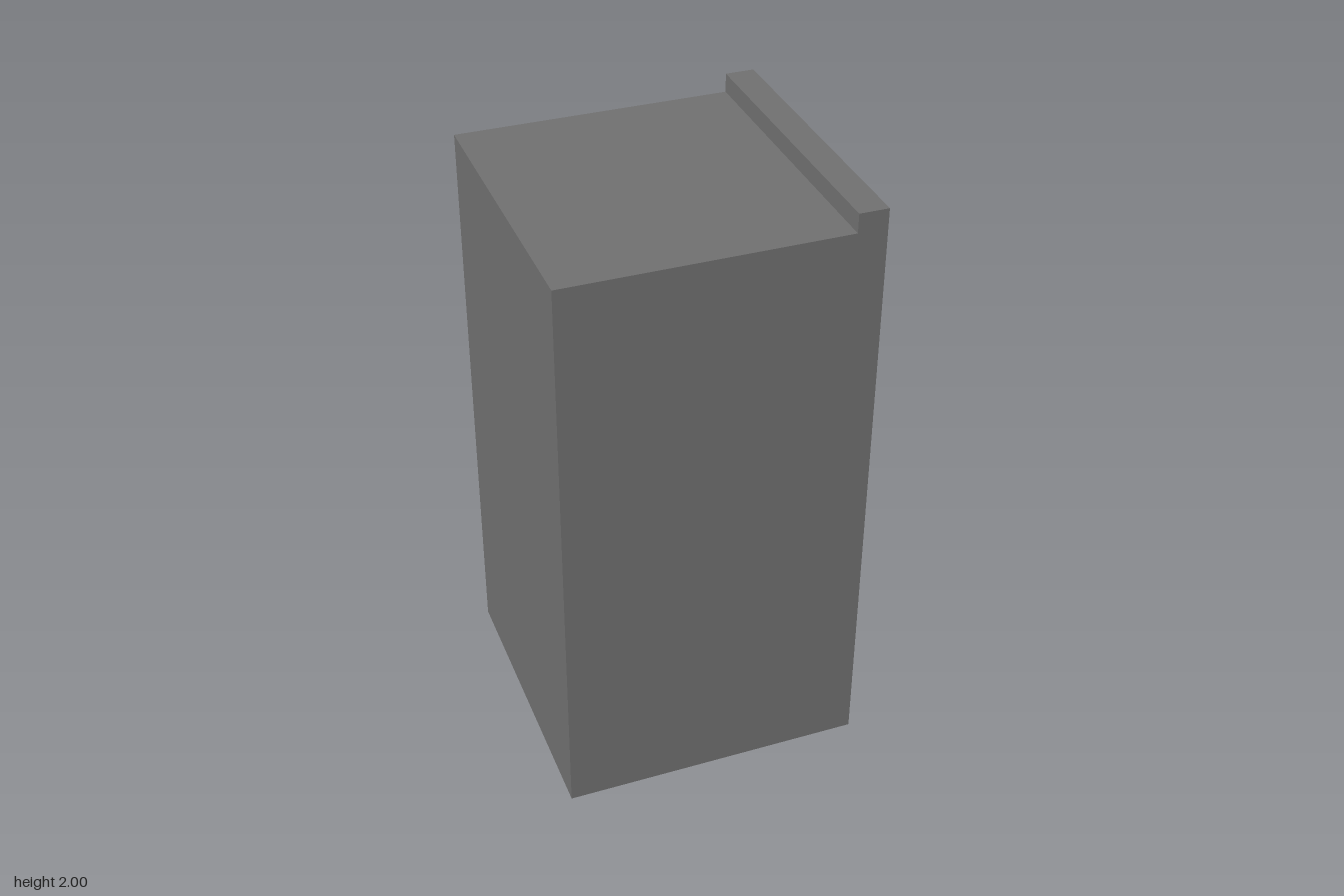
import * as THREE from 'three';

const wall = new THREE.MeshStandardMaterial({ name: 'grey wall', color: 0x707070 });
const glass = new THREE.MeshStandardMaterial({ name: 'blue glass', color: 0x46a3cc });
const dark = new THREE.MeshStandardMaterial({ name: 'dark navy', color: 0x222242 });

// Openings in the facade on the +x side: z from, z to, y from, y to
const openings = [
  { name: 'doorPanel', z0: 0.25, z1: 0.44, y0: 0, y1: 0.5, material: dark },
  { name: 'shopWindow', z0: -0.44, z1: 0.19, y0: 0, y1: 0.5, material: glass },
  { name: 'middleNarrowWindow', z0: 0.155, z1: 0.47, y0: 0.625, y1: 1.125, material: glass },
  { name: 'middleDarkWindow', z0: -0.405, z1: 0.065, y0: 0.625, y1: 1.125, material: dark },
  { name: 'topNarrowWindow', z0: 0.22, z1: 0.44, y0: 1.25, y1: 1.755, material: glass },
  { name: 'topWideWindow', z0: -0.47, z1: 0.127, y0: 1.25, y1: 1.755, material: glass },
];

const BACK = 0.44, PANE = 0.47, FRONT = 0.5;

// Box given by its lower and upper limits
function box(name, material, x0, x1, y0, y1, z0, z1) {
  const mesh = new THREE.Mesh(new THREE.BoxGeometry(x1 - x0, y1 - y0, z1 - z0), material);
  mesh.position.set((x0 + x1) / 2, (y0 + y1) / 2, (z0 + z1) / 2);
  mesh.name = name;
  return mesh;
}

// Facade slab: ground-floor openings notch the outline, the others are holes
function makeFacade() {
  const outline = [[-0.5, 0]];
  for (const o of openings.filter((p) => p.y0 === 0).sort((a, b) => b.z1 - a.z1)) {
    outline.push([-o.z1, 0], [-o.z1, o.y1], [-o.z0, o.y1], [-o.z0, 0]);
  }
  outline.push([0.5, 0], [0.5, 2], [-0.5, 2]);
  const shape = new THREE.Shape(outline.map(([u, y]) => new THREE.Vector2(u, y)));
  for (const o of openings.filter((p) => p.y0 > 0)) {
    const corners = [[-o.z1, o.y0], [-o.z1, o.y1], [-o.z0, o.y1], [-o.z0, o.y0]];
    shape.holes.push(new THREE.Path(corners.map(([u, y]) => new THREE.Vector2(u, y))));
  }
  const geometry = new THREE.ExtrudeGeometry(shape, { depth: FRONT - BACK, bevelEnabled: false });
  geometry.rotateY(Math.PI / 2);
  geometry.translate(BACK, 0, 0);
  const mesh = new THREE.Mesh(geometry, wall);
  mesh.name = 'facade';
  return mesh;
}

export function createModel() {
  const model = new THREE.Group();
  model.name = 'building';
  model.add(box('buildingBody', wall, -0.5, BACK, 0, 1.9375, -0.5, 0.5));
  model.add(box('roofParapet', wall, 0.405, BACK, 1.9375, 2, -0.5, 0.5));
  model.add(makeFacade());

  // Recessed panes and door
  for (const o of openings) {
    model.add(box(o.name, o.material, BACK, PANE, o.y0, o.y1, o.z0, o.z1));
  }
  return model;
}
